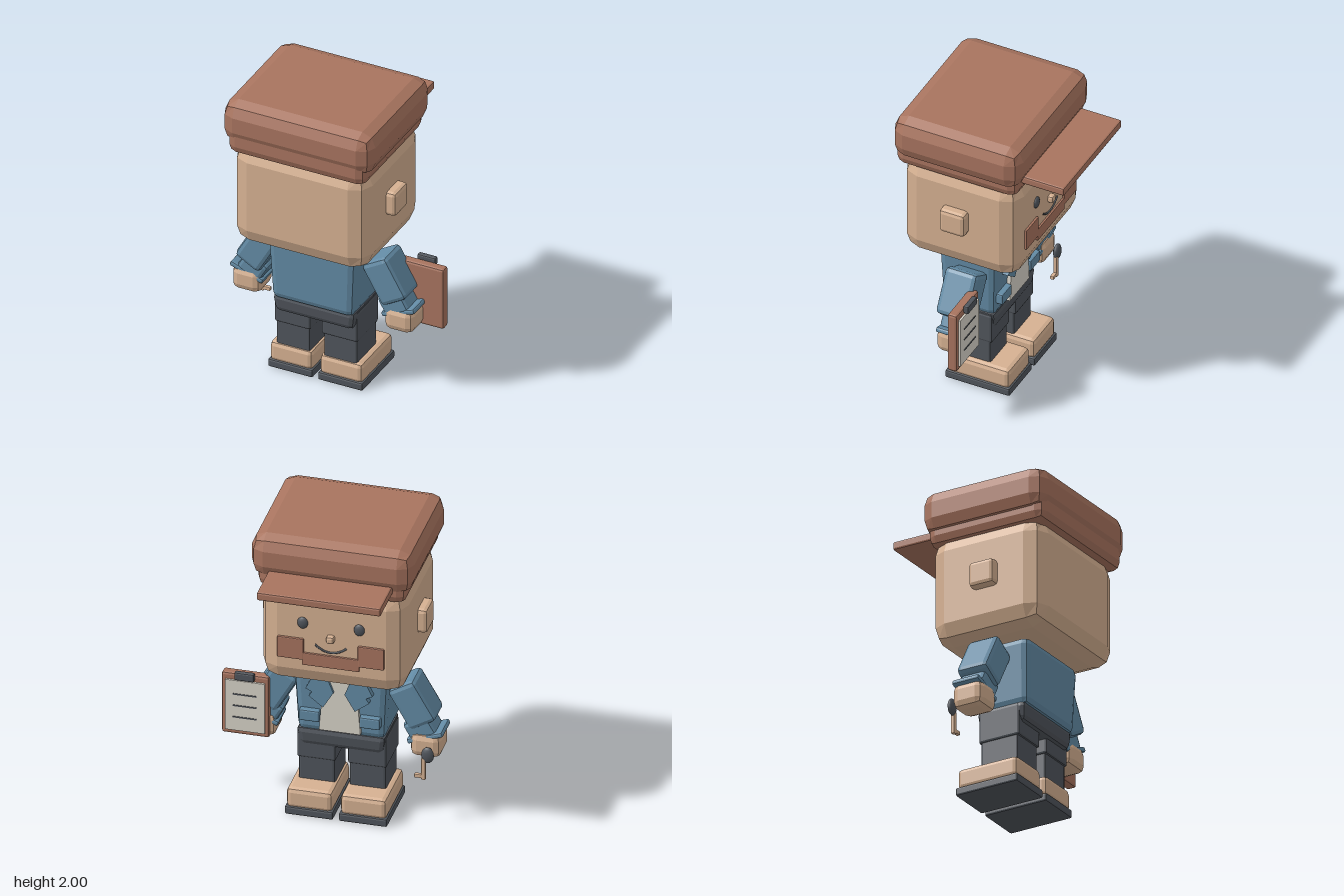
import * as THREE from 'three';
import { RoundedBoxGeometry } from 'three/addons/geometries/RoundedBoxGeometry.js';

const CX = -0.065; // body centre line
const CZ = 0.125;

const colour = (name, hex) => {
  const m = new THREE.MeshStandardMaterial({ color: hex });
  m.name = name;
  return m;
};

export function createModel() {
  const skin = colour('skin tan', 0xd6b192);
  const brown = colour('cap brown', 0xa8745f);
  const blue = colour('jacket blue', 0x638ba5);
  const dark = colour('charcoal', 0x50555c);
  const white = colour('off white', 0xdad5ca);

  const model = new THREE.Group();
  model.name = 'figure';

  const add = (name, geometry, material, parent = model) => {
    const mesh = new THREE.Mesh(geometry, material);
    mesh.name = name;
    parent.add(mesh);
    return mesh;
  };

  // Faceted box with chamfered edges; taper scales the bottom in x and z
  const box = (name, material, [w, h, d], r, [x, y, z], { taper = 1, roll = 0, parent = model } = {}) => {
    const g = new RoundedBoxGeometry(w, h, d, 1, r);
    const p = g.attributes.position;
    for (let i = 0; i < p.count; i++) {
      const k = THREE.MathUtils.lerp(taper, 1, p.getY(i) / h + 0.5);
      p.setX(i, p.getX(i) * k);
      p.setZ(i, p.getZ(i) * k);
    }
    g.deleteAttribute('normal');
    g.computeVertexNormals();
    const mesh = add(name, g, material, parent);
    mesh.position.set(x, y, z);
    mesh.rotation.z = roll;
    return mesh;
  };

  // Thin flat plate from an outline, its visible side towards -z
  const plate = (name, material, points, z, depth) => {
    const shape = new THREE.Shape(points.map(([x, y]) => new THREE.Vector2(x, y)));
    const mesh = add(name, new THREE.ExtrudeGeometry(shape, { depth, bevelEnabled: false }), material);
    mesh.position.z = z;
    return mesh;
  };

  const ellipsoid = (name, material, radii, position) => {
    const mesh = add(name, new THREE.SphereGeometry(1, 12, 8), material);
    mesh.scale.set(...radii);
    mesh.position.set(...position);
    return mesh;
  };

  // Head and cap
  box('head', skin, [0.915, 0.715, 0.79], 0.115, [CX - 0.002, 1.3425, CZ]);
  box('capBand', brown, [0.94, 0.2, 0.83], 0.06, [CX, 1.74, 0.137]);
  box('capCrown', brown, [1.02, 0.285, 0.87], 0.09, [CX, 1.8575, 0.13]);
  box('capBrim', brown, [0.78, 0.055, 0.4], 0.012, [CX, 1.747, -0.365]);

  // Face
  box('nose', skin, [0.05, 0.05, 0.06], 0.015, [CX, 1.345, -0.275]);
  box('moustacheBar', brown, [0.36, 0.085, 0.03], 0.005, [CX, 1.183, -0.268]);
  const smilePath = new THREE.QuadraticBezierCurve3(
    new THREE.Vector3(CX - 0.1, 1.29, -0.271),
    new THREE.Vector3(CX, 1.2, -0.271),
    new THREE.Vector3(CX + 0.1, 1.29, -0.271)
  );
  add('smile', new THREE.TubeGeometry(smilePath, 12, 0.007, 6), dark);

  // Neck, torso and shirt front
  box('neck', skin, [0.23, 0.12, 0.22], 0.02, [CX, 0.96, CZ]);
  box('jacket', blue, [0.6, 0.44, 0.39], 0.045, [CX, 0.75, 0.145], { taper: 0.92 });
  plate('shirt', white, [
    [CX - 0.13, 0.57], [CX + 0.13, 0.57], [CX + 0.1, 0.96], [CX - 0.1, 0.96],
  ], -0.066, 0.04);
  box('hips', dark, [0.57, 0.13, 0.35], 0.035, [CX, 0.49, 0.135], { taper: 0.93 });

  // Mirrored parts
  for (const s of [-1, 1]) {
    const side = s > 0 ? 'left' : 'right';
    const x = (offset) => CX + s * offset;
    const tilt = (s * Math.PI) / 6;

    box(side + 'Ear', skin, [0.12, 0.165, 0.175], 0.025, [x(0.46), 1.3525, 0.1375]);
    ellipsoid(side + 'Eye', dark, [0.034, 0.04, 0.018], [x(0.178), 1.43, -0.27]);
    box(side + 'MoustacheEnd', brown, [0.165, 0.145, 0.036], 0.006, [x(0.253), 1.248, -0.267]);

    // Lapel with a notch, and a pocket flap
    plate(side + 'Lapel', blue, [
      [x(0.08), 0.965], [x(0.16), 0.965], [x(0.21), 0.86], [x(0.17), 0.84],
      [x(0.19), 0.81], [x(0.1), 0.74], [x(0.035), 0.85],
    ], -0.085, 0.04);
    box(side + 'Pocket', blue, [0.13, 0.075, 0.05], 0.01, [x(0.19), 0.663, -0.055]);

    // Arm
    box(side + 'UpperArm', blue, [0.19, 0.3, 0.22], 0.03, [x(0.43), 0.775, 0.11], { roll: tilt });
    box(side + 'Forearm', blue, [0.17, 0.15, 0.18], 0.025, [x(0.478), 0.61, 0.1], { roll: tilt });
    box(side + 'Cuff', blue, [0.235, 0.035, 0.19], 0.012, [x(0.515), 0.565, 0.095], { roll: tilt * 0.65 });
    box(side + 'Hand', skin, [0.195, 0.165, 0.21], 0.045, [x(0.518), 0.513, 0.095]);

    // Leg and shoe
    box(side + 'Thigh', dark, [0.245, 0.21, 0.29], 0.015, [x(0.16), 0.435, CZ]);
    box(side + 'Shin', dark, [0.23, 0.2, 0.265], 0.015, [x(0.16), 0.25, CZ]);
    box(side + 'Shoe', skin, [0.29, 0.14, 0.425], 0.03, [x(0.17), 0.11, 0.06]);
    box(side + 'Sole', dark, [0.305, 0.055, 0.44], 0.012, [x(0.17), 0.0275, 0.06]);
  }

  // Clipboard in the left hand
  const clipboard = new THREE.Group();
  clipboard.name = 'clipboard';
  clipboard.position.set(0.54, 0.645, 0);
  model.add(clipboard);
  const on = { parent: clipboard };
  box('board', brown, [0.3, 0.425, 0.065], 0.015, [0, 0, 0.0125], on);
  box('paper', white, [0.25, 0.35, 0.018], 0.002, [0, -0.005, -0.024], on);
  box('clip', dark, [0.125, 0.055, 0.036], 0.01, [0, 0.21, -0.037], on);
  for (let i = 0; i < 3; i++) {
    box('writingLine', dark, [0.15, 0.009, 0.006], 0.001, [0, 0.075 - i * 0.08, -0.034], on);
  }

  // Key in the right hand
  ellipsoid('keyBow', dark, [0.04, 0.055, 0.022], [-0.612, 0.48, -0.045]);
  box('keyShaft', skin, [0.027, 0.15, 0.025], 0.005, [-0.588, 0.385, -0.048]);
  box('keyTooth', skin, [0.065, 0.025, 0.025], 0.005, [-0.563, 0.332, -0.048]);

  return model;
}
